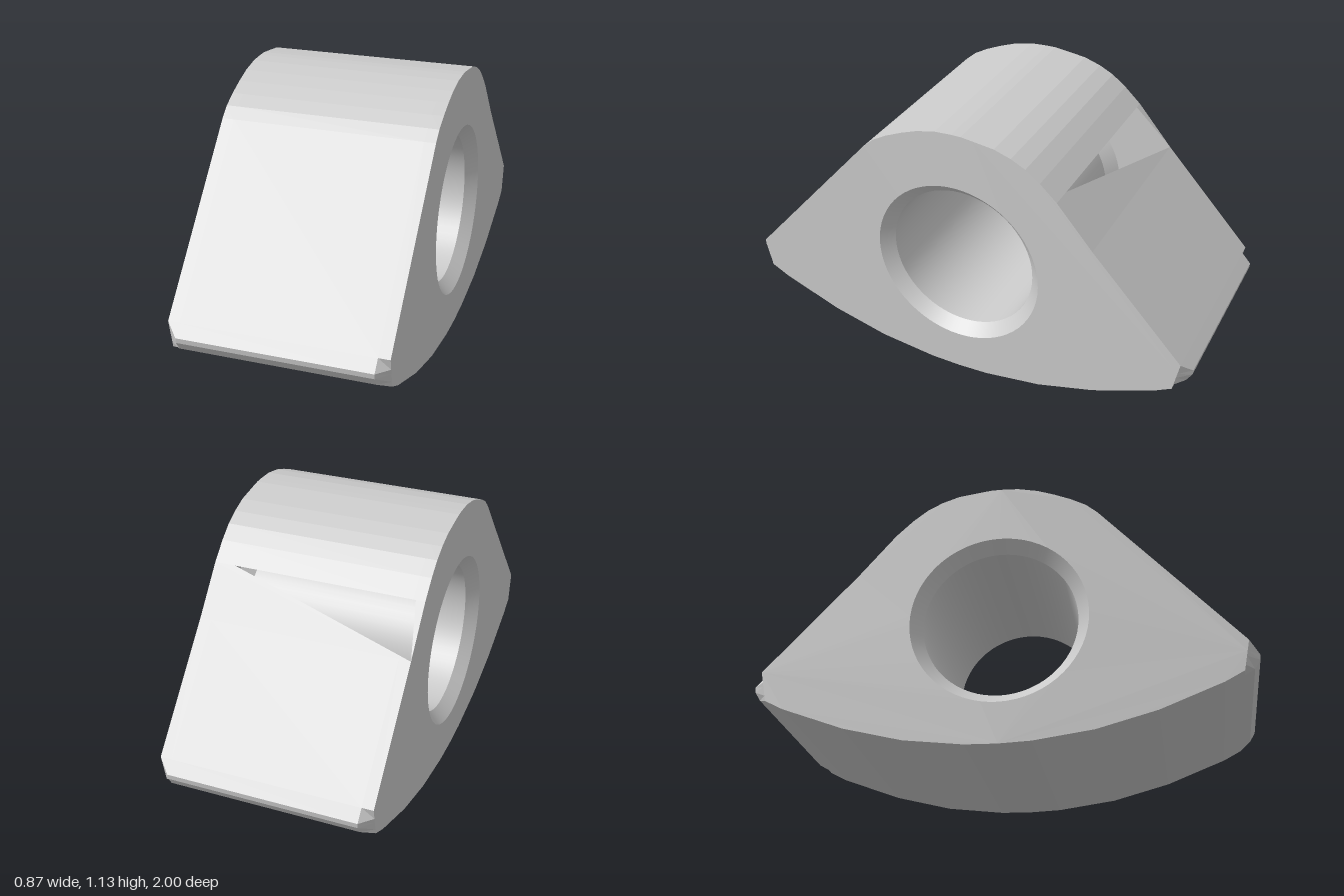
import * as THREE from 'three';

const HALF = 0.437, CHAMFER_X = 0.39, BORE_Y = 0.53, BORE_R = 0.313, RIM_R = 0.36;

// Side outline as [z, y], counter-clockwise seen from +x
const tip = [[0.96, 0.36], [1, 0.316], [0.998, 0.295], [0.975, 0.258], [0.935, 0.235]];
const belly = [[0.86, 0.195], [0.61, 0.098], [0.37, 0.035], [0.13, 0.004]];
const mirror = (pts) => pts.map(([z, y]) => [-z, y]).reverse();
const NOTCH_LOW = [-0.58, 0.77], NOTCH_HIGH = [-0.43, 0.945];
const outline = [
  [0.01, 1.126], [0.08, 1.122], [0.16, 1.105], [0.23, 1.08], [0.3, 1.05], [0.36, 1.017], [0.405, 0.978],
  ...tip, ...belly, [0, 0], ...mirror(belly), ...mirror(tip),
  NOTCH_LOW, NOTCH_HIGH,
  [-0.36, 1.01], [-0.3, 1.055], [-0.24, 1.085], [-0.17, 1.108], [-0.08, 1.12], [-0.03, 1.126],
];

// Outline at the two end faces, where the corners of the tips are cut off
const endOutline = outline.map(([z, y]) => {
  const limit = 0.96 - 0.2 * (0.36 - y);
  return [y < 0.4 ? Math.sign(z) * Math.min(Math.abs(z), limit) : z, y];
});

function shellGeometry() {
  const pos = [];
  const tri = (...corners) => corners.forEach((c) => pos.push(...c));
  const at = (x, [z, y]) => [x, y, z];
  const stations = [[-HALF, endOutline], [-CHAMFER_X, outline], [CHAMFER_X, outline], [HALF, endOutline]];
  const n = outline.length;
  for (let i = 0; i < n; i++) {
    const j = (i + 1) % n;
    if (outline[i] === NOTCH_LOW) continue;
    for (let s = 0; s < 3; s++) {
      const [xa, ra] = stations[s], [xb, rb] = stations[s + 1];
      tri(at(xa, ra[i]), at(xa, ra[j]), at(xb, rb[j]));
      tri(at(xa, ra[i]), at(xb, rb[j]), at(xb, rb[i]));
    }
  }
  // Strip of the back slope with a triangular opening
  const a = at(-HALF, NOTCH_LOW), b = at(0.35, NOTCH_HIGH), c = at(-0.4, NOTCH_HIGH);
  const topRight = at(HALF, NOTCH_HIGH), lowRight = at(HALF, NOTCH_LOW);
  tri(a, at(-HALF, NOTCH_HIGH), c);
  tri(a, b, topRight);
  tri(a, topRight, lowRight);

  const g = new THREE.BufferGeometry();
  g.setAttribute('position', new THREE.Float32BufferAttribute(pos, 3));
  g.computeVertexNormals();
  return g;
}

// Flat end face with the round opening of the bore
function endFaceGeometry(side) {
  const shape = new THREE.Shape(endOutline.map(([z, y]) => new THREE.Vector2(-side * z, y)));
  const hole = new THREE.Path();
  hole.absarc(0, BORE_Y, RIM_R, 0, Math.PI * 2, true);
  shape.holes.push(hole);
  const g = new THREE.ShapeGeometry(shape, 32);
  g.rotateY(side * Math.PI / 2);
  g.translate(side * HALF, 0, 0);
  return g;
}

// Surface of revolution around the bore axis, from [radius, x] to [radius, x]
function boreGeometry(from, to) {
  const g = new THREE.LatheGeometry([new THREE.Vector2(...from), new THREE.Vector2(...to)], 64);
  g.rotateZ(-Math.PI / 2);
  g.translate(0, BORE_Y, 0);
  return g;
}

export function createModel() {
  const group = new THREE.Group();
  group.name = 'boredBlock';
  const material = new THREE.MeshStandardMaterial({ color: 0xcccccc, side: THREE.DoubleSide });
  const add = (name, geometry) => {
    const mesh = new THREE.Mesh(geometry, material);
    mesh.name = name;
    group.add(mesh);
  };

  add('outerShell', shellGeometry());
  add('leftFace', endFaceGeometry(1));
  add('rightFace', endFaceGeometry(-1));

  // Bore with a chamfered rim at each end; profiles run so the faces look at the axis
  const inner = HALF - 0.05;
  add('bore', boreGeometry([BORE_R, inner], [BORE_R, -inner]));
  add('leftBoreChamfer', boreGeometry([RIM_R, HALF], [BORE_R, inner]));
  add('rightBoreChamfer', boreGeometry([BORE_R, -inner], [RIM_R, -HALF]));
  return group;
}
